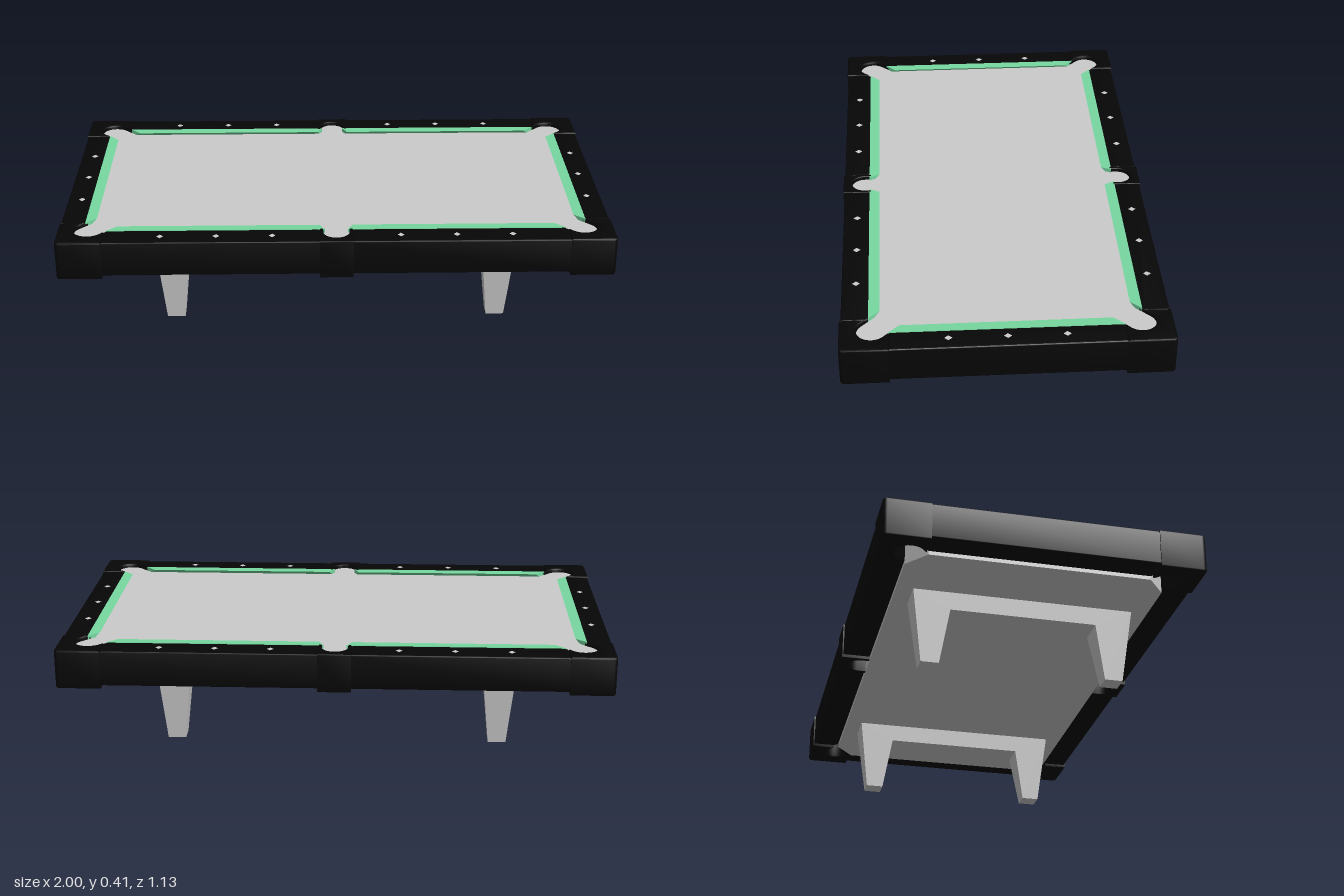
import * as THREE from 'three';
import { toCreasedNormals } from 'three/addons/utils/BufferGeometryUtils.js';

const grey = new THREE.MeshStandardMaterial({ color: 0xcccccc });
const black = new THREE.MeshStandardMaterial({ color: 0x060606 });
const green = new THREE.MeshStandardMaterial({ color: 0x77d8a0 });

const RX = 0.9, RZ = 0.46;              // inner faces of the rails
const BED = 0.397, TOP = 0.41, LOW = 0.268;
const CORNER = [0.89, 0.457], CR = 0.052; // corner pocket
const SIDE_Z = 0.487, SR = 0.047;         // side pocket

const arc = (cx, cz, r, a0, a1, n) => Array.from({ length: n + 1 }, (_, i) => {
  const a = a0 + (a1 - a0) * i / n;
  return [cx + r * Math.cos(a), cz + r * Math.sin(a)];
});
const mirror = (pts, sx, sz) => pts.map(([x, z]) => [x * sx, z * sz]);

// Round pocket ends
const cornerArc = arc(...CORNER, CR, Math.PI * 0.75, -Math.PI * 0.25, 18);
const sideArc = arc(0, SIDE_Z, SR, 0, Math.PI, 18);

// Joins one quarter of a plan outline into a full loop
const fullLoop = quarter => [
  ...mirror(quarter, 1, 1), ...mirror(quarter, 1, -1).reverse(),
  ...mirror(quarter, -1, -1), ...mirror(quarter, -1, 1).reverse(),
];

// Extrudes a plan outline (x, z) between two heights
function slab(pts, y0, y1, bevel = 0) {
  const shape = new THREE.Shape(pts.map(p => new THREE.Vector2(...p)));
  const geo = new THREE.ExtrudeGeometry(shape, {
    depth: y1 - y0 - 2 * bevel, bevelEnabled: bevel > 0,
    bevelThickness: bevel, bevelSize: bevel, bevelOffset: -bevel, bevelSegments: 3,
  });
  geo.rotateX(Math.PI / 2).translate(0, y1 - bevel, 0);
  return toCreasedNormals(geo, 0.6);
}

// Cushion prism along x with its nose towards +z; the ends slant with depth d
function cushion(left, right) {
  const section = [[-0.008, 0.412], [0.03, 0.411], [0.006, 0.39], [-0.008, 0.39]];
  const pos = [], n = section.length;
  const L = section.map(([d, y]) => [left(d), y, d]);
  const R = section.map(([d, y]) => [right(d), y, d]);
  const quad = (a, b, c, d) => [a, b, c, a, c, d].forEach(p => pos.push(...p));
  for (let i = 0; i < n; i++) quad(L[i], L[(i + 1) % n], R[(i + 1) % n], R[i]);
  quad(...R);
  quad(...L.reverse());
  const geo = new THREE.BufferGeometry();
  geo.setAttribute('position', new THREE.Float32BufferAttribute(pos, 3));
  geo.computeVertexNormals();
  return geo;
}

// Leg pair with cross beam, narrowing in x towards the floor
function legPair() {
  const half = [[0.4, LOW], [0.365, 0], [0.3, 0], [0.265, 0.203]];
  const pts = [...half, ...mirror(half, -1, 1).reverse()];
  const geo = new THREE.ExtrudeGeometry(
    new THREE.Shape(pts.map(p => new THREE.Vector2(...p))), { depth: 1, bevelEnabled: false });
  geo.translate(0, 0, -0.5).rotateY(Math.PI / 2);
  const p = geo.attributes.position;
  for (let i = 0; i < p.count; i++) p.setX(i, p.getX(i) * (0.066 + 0.052 * p.getY(i) / LOW));
  geo.computeVertexNormals();
  return geo;
}

export function createModel() {
  const table = new THREE.Group();
  table.name = 'poolTable';
  const add = (name, geo, mat, x = 0, y = 0, z = 0) => {
    const m = new THREE.Mesh(geo, mat);
    m.name = name;
    m.position.set(x, y, z);
    table.add(m);
  };

  // Flat playing surface running into the pockets, over a plain bed
  const surface = fullLoop([
    ...sideArc.slice(0, 9).reverse(), [SR, RZ], [0.819, RZ], ...cornerArc, [RX, 0.393],
  ]);
  add('playingSurface', slab(surface, BED - 0.01, BED), grey);
  add('bed', slab(fullLoop([[0.819, RZ], [RX, 0.393]]), LOW, BED - 0.01), grey);

  // Corner blocks and long rails
  const cornerBlock = [
    [0.835, 0.476], ...cornerArc, [0.907, 0.4], [1, 0.4],
    ...arc(0.985, 0.552, 0.015, 0, Math.PI / 2, 4), [0.835, 0.567],
  ];
  const longRail = [[0.06, RZ], [0.819, RZ], [0.835, 0.476], [0.835, 0.562], [0.06, 0.562]];
  for (const sx of [1, -1]) for (const sz of [1, -1]) {
    add('cornerBlock', slab(mirror(cornerBlock, sx, sz), LOW, 0.413, 0.007), black);
    add('longRail', slab(mirror(longRail, sx, sz), 0.28, TOP, 0.005), black);
  }

  // Side pocket blocks
  const sideBlock = [
    [SR, RZ], ...sideArc, [-SR, RZ],
    [-0.06, RZ], [-0.06, 0.567], [0.06, 0.567], [0.06, RZ],
  ];
  for (const s of [1, -1]) {
    add('sidePocketBlock', slab(mirror(sideBlock, 1, s), LOW, 0.412, 0.003), black);
  }

  // End rails
  const endRail = [[RX, 0.393], [0.907, 0.4], [0.996, 0.4], [0.996, -0.4], [0.907, -0.4], [RX, -0.393]];
  for (const s of [1, -1]) add('endRail', slab(mirror(endRail, s, 1), 0.28, TOP, 0.005), black);

  // Cushions
  const inner = d => 0.045 + 0.5 * d, outer = d => 0.819 - d, end = d => 0.393 - d;
  for (const turn of [0, Math.PI]) {
    add('longCushion', cushion(inner, outer).translate(0, 0, -RZ).rotateY(turn), green);
    add('longCushion', cushion(d => -outer(d), d => -inner(d)).translate(0, 0, -RZ).rotateY(turn), green);
    add('endCushion', cushion(d => -end(d), end).translate(0, 0, -RX).rotateY(turn + Math.PI / 2), green);
  }

  // Diamond sights on the rails
  const sight = new THREE.CylinderGeometry(0.014, 0.014, 0.003, 4).scale(0.9, 1, 1);
  for (const s of [1, -1]) {
    for (const x of [-0.63, -0.43, -0.23, 0.23, 0.43, 0.63]) add('sight', sight, grey, x, TOP - 0.001, s * 0.512);
    for (const z of [-0.2, 0, 0.2]) add('sight', sight, grey, s * 0.945, TOP - 0.001, z);
  }

  // Legs
  for (const s of [1, -1]) add('legPair', legPair(), grey, s * 0.598);

  return table;
}
